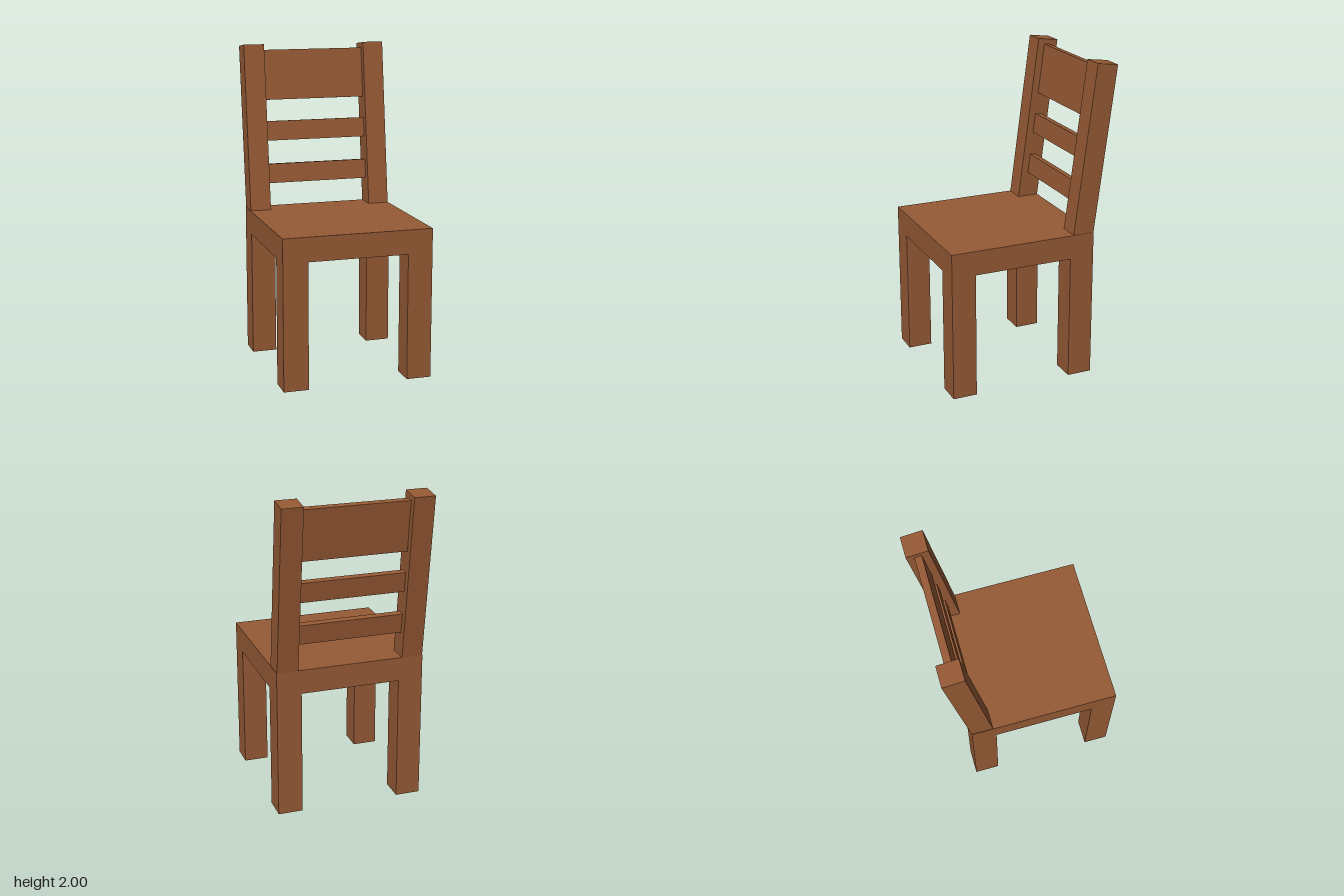
import * as THREE from 'three';

export function createModel() {
  const chair = new THREE.Group();
  chair.name = 'chair';
  const wood = new THREE.MeshStandardMaterial({ color: 0x965a35 });
  wood.name = 'brown wood';

  // Box given by its min and max corners
  function box(name, parent, [x0, y0, z0], [x1, y1, z1]) {
    const mesh = new THREE.Mesh(new THREE.BoxGeometry(x1 - x0, y1 - y0, z1 - z0), wood);
    mesh.position.set((x0 + x1) / 2, (y0 + y1) / 2, (z0 + z1) / 2);
    mesh.name = name;
    parent.add(mesh);
  }

  // Seat slab
  const seatTop = 0.945, seatBottom = 0.793;
  box('seat', chair, [-0.47, seatBottom, -0.402], [0.47, seatTop, 0.538]);

  // Backrest leans backwards, hinged on the front foot of its posts
  const backrest = new THREE.Group();
  backrest.name = 'backrest';
  backrest.position.set(0, seatTop, -0.266);
  backrest.rotation.x = -0.13;
  chair.add(backrest);

  // Legs and back posts, mirrored left and right
  for (const [side, s] of [['left', 1], ['right', -1]]) {
    const inner = s > 0 ? 0.314 : -0.47;
    const outer = inner + 0.156;
    box(side + 'FrontLeg', chair, [inner, 0, 0.385], [outer, seatBottom, 0.538]);
    box(side + 'BackLeg', chair, [inner, 0, -0.402], [outer, seatBottom, -0.245]);
    const post = s > 0 ? 0.334 : -0.467;
    box(side + 'BackPost', backrest, [post, 0, -0.135], [post + 0.133, 1.064, 0]);
  }

  // Slats set midway through the posts
  for (const [name, bottom, top] of [
    ['lowerSlat', 0.169, 0.294],
    ['middleSlat', 0.445, 0.571],
    ['topRail', 0.709, 1.03],
  ]) box(name, backrest, [-0.335, bottom, -0.09], [0.335, top, -0.046]);

  return chair;
}
